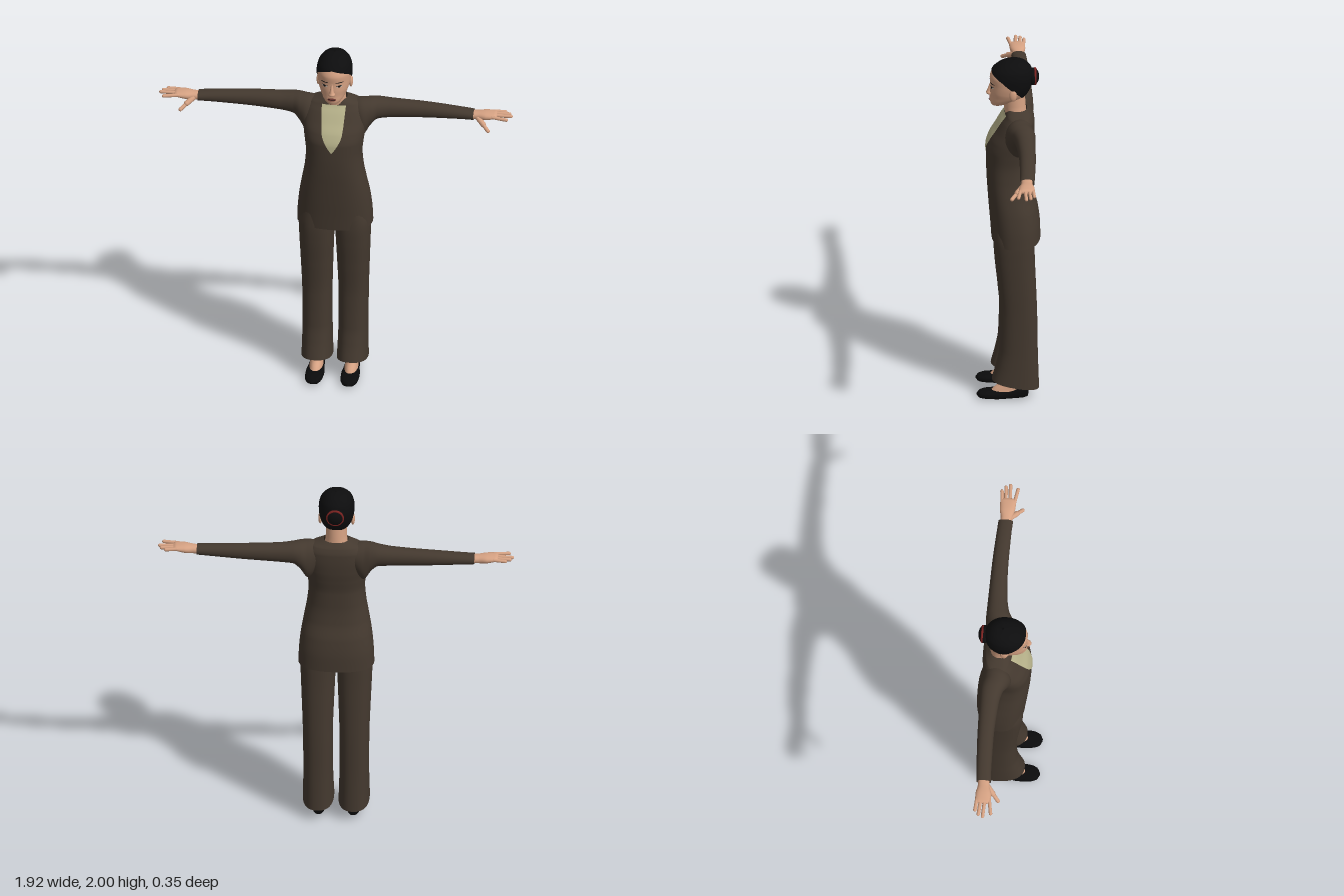
import * as THREE from 'three';
import { ParametricGeometry } from 'three/addons/geometries/ParametricGeometry.js';

const material = (name, color) => Object.assign(
  new THREE.MeshStandardMaterial({ color, side: THREE.DoubleSide }), { name });

// Smooth monotone interpolation of table rows by their first column.
function at(rows, k) {
  let i = 0;
  while (i < rows.length - 2 && k > rows[i + 1][0]) i++;
  const slope = (j, c) => (rows[j + 1][c] - rows[j][c]) / (rows[j + 1][0] - rows[j][0]);
  const tangent = (j, c) => {
    if (j === 0) return slope(0, c);
    if (j === rows.length - 1) return slope(j - 1, c);
    const a = slope(j - 1, c), b = slope(j, c);
    return a * b <= 0 ? 0 : 2 * a * b / (a + b);
  };
  const h = rows[i + 1][0] - rows[i][0], t = (k - rows[i][0]) / h;
  return rows[i].map((p, c) => {
    if (c === 0) return k;
    const q = rows[i + 1][c], d = slope(i, c) * h;
    const m0 = tangent(i, c) * h, m1 = tangent(i + 1, c) * h;
    return p + t * m0 + t * t * (3 * d - 2 * m0 - m1) + t * t * t * (m0 + m1 - 2 * d);
  });
}

const bend = (v, n) => Math.sign(v) * Math.abs(v) ** (2 / n);

// Point on a rounded section; rows are [position, aLow, aHigh, bLow, bHigh].
function ringPoint(rows, axis, n, angle, k, target, grow = 1) {
  const [, a0, a1, b0, b1] = at(rows, k);
  const a = (a0 + a1) / 2 + (a1 - a0) / 2 * grow * bend(Math.cos(angle), n);
  const s = axis === 'y' ? -1 : 1;
  const b = (b0 + b1) / 2 + s * (b1 - b0) / 2 * grow * bend(Math.sin(angle), n);
  if (axis === 'y') return target.set(a, k, b);
  if (axis === 'x') return target.set(k, a, b);
  return target.set(a, b, k);
}

function loft(rows, axis = 'y', n = 2.2, sides = 32, deform = null) {
  const segments = rows.length - 1;
  return new ParametricGeometry((u, v, target) => {
    const i = Math.min(segments - 1, Math.floor(v * segments)), t = v * segments - i;
    const k = rows[i][0] + t * (rows[i + 1][0] - rows[i][0]);
    ringPoint(rows, axis, n, u * Math.PI * 2, k, target);
    if (deform) deform(target);
  }, sides, segments * 4);
}

// Thin patch lying on the front of a lofted body.
function patch(rows, n, y0, y1, left, right, lift, steps = 10) {
  return new ParametricGeometry((u, v, target) => {
    const y = y0 + (y1 - y0) * v, x = left(v) + (right(v) - left(v)) * u;
    const [, a0, a1, b0, b1] = at(rows, y);
    const r = Math.min(1, Math.abs(2 * x - a0 - a1) / (a1 - a0));
    target.set(x, y, (b0 + b1) / 2 + (b1 - b0) / 2 * (1 - r ** n) ** (1 / n) + lift);
  }, steps, steps * 2);
}

function ovalPatch(rows, n, x, y, rx, ry, lift) {
  const half = v => rx * Math.sqrt(Math.max(0.001, 1 - (2 * v - 1) ** 2));
  return patch(rows, n, y - ry, y + ry, v => x - half(v), v => x + half(v), lift, 8);
}

function capsule(from, to, radius) {
  const a = new THREE.Vector3(...from), b = new THREE.Vector3(...to), dir = b.clone().sub(a);
  const turn = new THREE.Quaternion().setFromUnitVectors(
    new THREE.Vector3(0, 1, 0), dir.clone().normalize());
  const middle = a.add(b).multiplyScalar(0.5);
  return new THREE.CapsuleGeometry(radius, dir.length() - radius, 5, 12)
    .applyQuaternion(turn).translate(middle.x, middle.y, middle.z);
}

const ball = (x, y, z, sx, sy, sz) =>
  new THREE.SphereGeometry(1, 24, 16).scale(sx, sy, sz).translate(x, y, z);

function mirrored(geometry) {
  const copy = geometry.clone().scale(-1, 1, 1), index = copy.index;
  for (let i = 0; i < index.count; i += 3) {
    const b = index.getX(i + 1);
    index.setX(i + 1, index.getX(i + 2));
    index.setX(i + 2, b);
  }
  return copy;
}

export function createModel() {
  const model = new THREE.Group();
  model.name = 'standingWoman';
  const suit = material('darkBrownCloth', 0x44392f);
  const skin = material('skin', 0xd6a283);
  const blouse = material('khakiCloth', 0xb9b48c);
  const black = material('blackHair', 0x0d0d0e);
  const leather = material('blackLeather', 0x0b0b0c);
  const red = material('redBand', 0x7a2220);
  const lip = material('lipRed', 0x7d4038);
  const eyeWhite = material('eyeWhite', 0xc9bdb0);

  const add = (name, geometry, mat) => {
    const mesh = new THREE.Mesh(geometry, mat);
    mesh.name = name;
    model.add(mesh);
  };
  const addPair = (name, geometry, mat) => {
    add(name + 'Left', geometry, mat);
    add(name + 'Right', mirrored(geometry), mat);
  };
  const even = rows => rows.map(([y, w, back, front]) => [y, -w, w, back, front]);

  // Tunic with open hem, and the blouse in its neckline
  const torso = even([
    [0.945, 0.205, -0.17, 0.095], [1.02, 0.202, -0.168, 0.1], [1.12, 0.192, -0.155, 0.108],
    [1.22, 0.175, -0.128, 0.115], [1.32, 0.158, -0.118, 0.121], [1.4, 0.152, -0.118, 0.123],
    [1.48, 0.16, -0.128, 0.122], [1.54, 0.168, -0.136, 0.105], [1.6, 0.172, -0.139, 0.07],
    [1.65, 0.165, -0.137, 0.042], [1.685, 0.14, -0.125, 0.02], [1.705, 0.09, -0.108, 0.012],
    [1.715, 0.066, -0.098, 0.008]]);
  add('tunic', loft(torso, 'y', 2.4, 48), suit);
  const vWidth = [[0, 0.002], [0.12, 0.022], [0.42, 0.055], [1, 0.066]];
  add('blouse', patch(torso, 2.4, 1.445, 1.69,
    v => -at(vWidth, v)[1], v => at(vWidth, v)[1], 0.005), blouse);

  // Sleeves
  addPair('sleeve', loft([
    [0.09, 1.56, 1.69, -0.12, 0], [0.15, 1.48, 1.7, -0.135, 0.025],
    [0.19, 1.54, 1.7, -0.138, 0.008], [0.23, 1.578, 1.697, -0.137, -0.015],
    [0.3, 1.586, 1.69, -0.135, -0.03], [0.5, 1.597, 1.68, -0.13, -0.042],
    [0.68, 1.606, 1.667, -0.12, -0.04], [0.75, 1.609, 1.661, -0.115, -0.036]], 'x'), suit);

  // Hands
  addPair('palm', loft([
    [0.73, 1.615, 1.655, -0.105, -0.045], [0.77, 1.613, 1.658, -0.105, -0.042],
    [0.82, 1.618, 1.662, -0.114, -0.03], [0.86, 1.63, 1.66, -0.114, -0.028],
    [0.875, 1.636, 1.655, -0.105, -0.036], [0.88, 1.644, 1.646, -0.08, -0.06]],
    'x', 2.3, 24), skin);
  [[-0.104, 0.922, -0.11], [-0.083, 0.946, -0.09], [-0.061, 0.957, -0.066],
    [-0.038, 0.937, -0.023]].forEach(([z0, x1, z1], i) =>
    addPair('finger' + (i + 1), capsule([0.85, 1.646, z0], [x1, 1.643, z1], 0.0095), skin));
  addPair('thumbBase', capsule([0.77, 1.632, -0.055], [0.812, 1.605, -0.016], 0.015), skin);
  addPair('thumb', capsule([0.805, 1.609, -0.022], [0.84, 1.583, 0.012], 0.0105), skin);

  // Trousers with a hem that rises at the front
  addPair('trouserLeg', loft([
    [0.09, 0.012, 0.18, -0.16, 0.095], [0.2, 0.016, 0.178, -0.156, 0.07],
    [0.3, 0.018, 0.177, -0.153, 0.055], [0.5, 0.018, 0.179, -0.15, 0.05],
    [0.7, 0.012, 0.186, -0.143, 0.065], [0.85, 0.006, 0.192, -0.137, 0.08],
    [0.95, 0.002, 0.195, -0.135, 0.086], [1.08, 0, 0.17, -0.125, 0.085]], 'y', 2.4, 32,
    p => { p.y += 0.2 * (p.z + 0.04) * Math.max(0, 1 - (p.y - 0.09) / 0.3); }), suit);

  // Feet and flat shoes
  addPair('foot', loft([
    [0.03, 0.055, 0.137, -0.085, 0.115], [0.06, 0.06, 0.13, -0.08, 0.085],
    [0.09, 0.063, 0.127, -0.078, 0.048], [0.14, 0.065, 0.125, -0.075, 0.02],
    [0.3, 0.06, 0.13, -0.08, 0.015]], 'y', 2.1, 24), skin);
  addPair('shoe', loft([
    [-0.104, 0.088, 0.1, 0.03, 0.05], [-0.098, 0.07, 0.118, 0.008, 0.072],
    [-0.06, 0.058, 0.13, 0, 0.075], [0, 0.053, 0.138, 0, 0.06],
    [0.06, 0.046, 0.146, 0, 0.051], [0.12, 0.05, 0.144, 0.003, 0.048],
    [0.16, 0.064, 0.13, 0.007, 0.041], [0.176, 0.092, 0.104, 0.018, 0.028]],
    'z', 2.6, 28), leather);

  // Neck and head
  add('neck', loft(even([
    [1.62, 0.07, -0.1, 0.01], [1.68, 0.063, -0.094, 0.02],
    [1.74, 0.057, -0.09, 0.028], [1.81, 0.057, -0.085, 0.03]]), 'y', 2), skin);
  const head = even([
    [1.727, 0.01, 0.055, 0.075], [1.738, 0.034, 0.02, 0.096], [1.762, 0.056, -0.03, 0.102],
    [1.79, 0.072, -0.085, 0.101], [1.82, 0.083, -0.105, 0.102], [1.86, 0.09, -0.12, 0.1],
    [1.9, 0.092, -0.126, 0.103], [1.94, 0.085, -0.12, 0.089], [1.97, 0.066, -0.1, 0.058],
    [1.988, 0.039, -0.072, 0.018], [1.994, 0.0005, -0.028, -0.027]]);
  add('head', loft(head, 'y', 2.1, 40), skin);
  addPair('ear', ball(0.088, 1.825, -0.02, 0.011, 0.035, 0.02), skin);
  add('nose', loft(even([
    [1.79, 0.004, 0.09, 0.104], [1.796, 0.016, 0.085, 0.116], [1.804, 0.018, 0.085, 0.123],
    [1.818, 0.012, 0.085, 0.118], [1.845, 0.008, 0.08, 0.108], [1.87, 0.005, 0.08, 0.1]]),
    'y', 2, 20), skin);

  // Face details
  add('lips', ovalPatch(head, 2.1, 0, 1.772, 0.023, 0.01, 0.006), lip);
  add('mouthLine', ovalPatch(head, 2.1, 0, 1.773, 0.022, 0.0015, 0.008), black);
  addPair('eye', ovalPatch(head, 2.1, 0.04, 1.852, 0.016, 0.006, 0.003), eyeWhite);
  addPair('iris', ovalPatch(head, 2.1, 0.04, 1.852, 0.006, 0.006, 0.005), black);
  addPair('eyelid', ovalPatch(head, 2.1, 0.04, 1.858, 0.017, 0.002, 0.006), black);
  addPair('eyebrow', ovalPatch(head, 2.1, 0.041, 1.876, 0.021, 0.0025, 0.004), black);

  // Hair cap following the hairline from forehead to nape
  const hairline = [[0, 1.943], [0.6, 1.928], [1.1, 1.905], [1.5, 1.865],
    [1.9, 1.83], [2.5, 1.79], [Math.PI, 1.78]];
  add('hair', new ParametricGeometry((u, v, target) => {
    const angle = u * Math.PI * 2;
    const fromFront = Math.acos(Math.max(-1, Math.min(1, -Math.sin(angle))));
    const low = at(hairline, fromFront)[1];
    const y = low + (1.994 - low) * (1 - (1 - v) ** 1.6);
    ringPoint(head, 'y', 2.1, angle, y, target, 1.05);
    target.y += 0.006 * v;
  }, 48, 24), black);

  // Bun with its band
  add('bun', ball(0, 1.897, -0.13, 0.05, 0.047, 0.034), black);
  add('bunBand', new THREE.TorusGeometry(0.042, 0.007, 10, 32).translate(0, 1.897, -0.142), red);
  return model;
}
